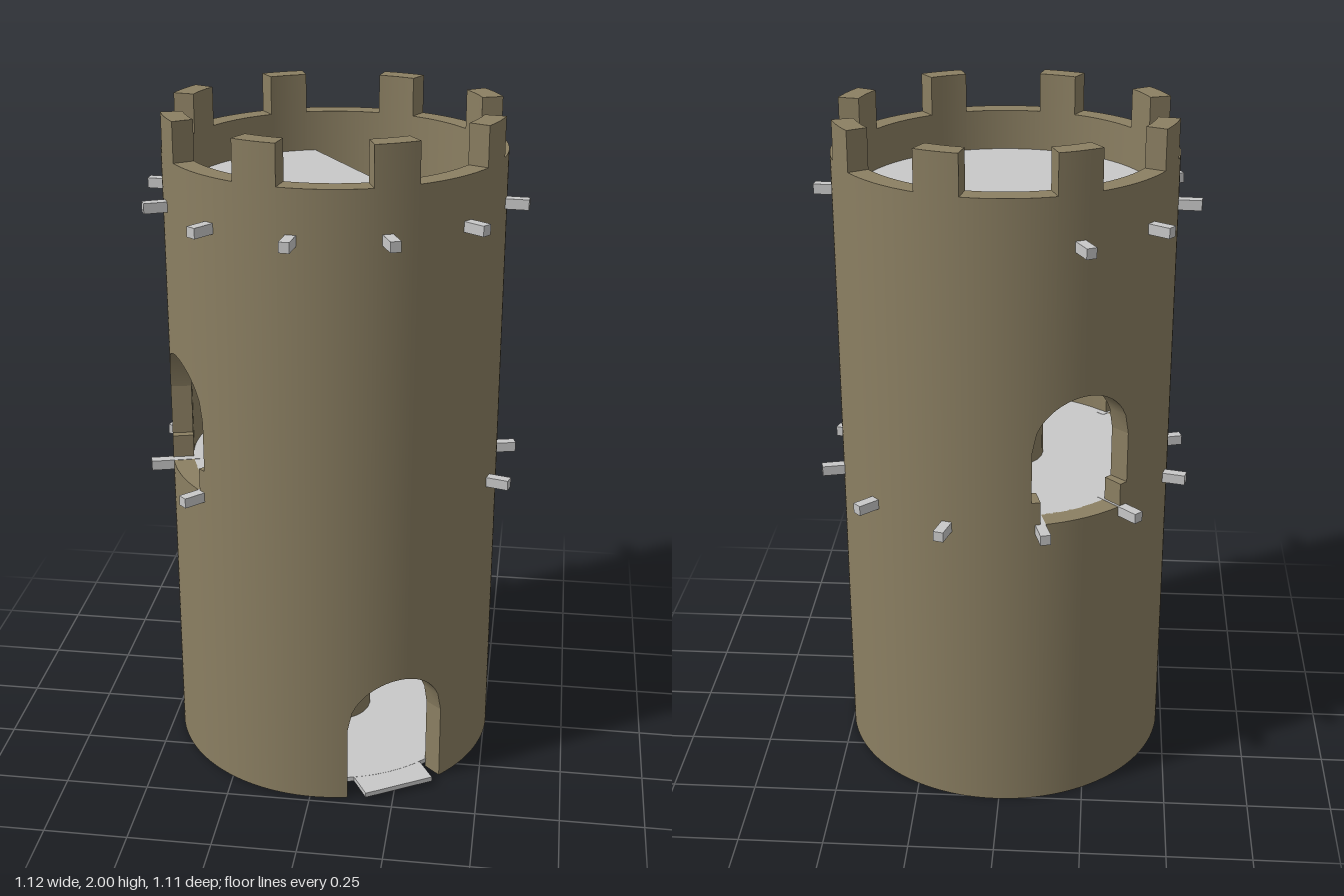
import * as THREE from 'three';
import { toCreasedNormals } from 'three/addons/utils/BufferGeometryUtils.js';

const R = 0.495, RI = 0.433;          // outer and inner wall radius
const FLOORS = [0.03, 0.935, 1.765];  // walking levels

const rad = THREE.MathUtils.degToRad;
// point at radius r, azimuth a (degrees from +z towards +x), height y
const P = (r, a, y) => [r * Math.sin(rad(a)), y, r * Math.cos(rad(a))];

function quad(out, p, q, r, s) {
  out.push(...p, ...q, ...r, ...p, ...r, ...s);
}

// Curved block between two radii and azimuths; bottom and top may slope
function block(out, r0, r1, a0, a1, [b0, b1], [t0, t1], end0 = true, end1 = true) {
  const o = [P(r1, a0, b0), P(r1, a1, b1), P(r1, a1, t1), P(r1, a0, t0)];
  const i = [P(r0, a0, b0), P(r0, a1, b1), P(r0, a1, t1), P(r0, a0, t0)];
  quad(out, o[0], o[1], o[2], o[3]);
  quad(out, i[1], i[0], i[3], i[2]);
  quad(out, o[3], o[2], i[2], i[3]);
  quad(out, i[0], i[1], o[1], o[0]);
  if (end0) quad(out, i[0], o[0], o[3], i[3]);
  if (end1) quad(out, o[1], i[1], i[2], o[2]);
}

function toGeometry(out) {
  const g = new THREE.BufferGeometry();
  g.setAttribute('position', new THREE.Float32BufferAttribute(out, 3));
  g.computeVertexNormals();
  return toCreasedNormals(g, 0.5);
}

// Arched openings: door and two windows
const HALF = 18;
const OPENINGS = [
  { at: 30, sill: 0, top: 0.39, lip: 0 },
  { at: 210, sill: 0.935, top: 1.31, lip: 0.07 },
  { at: 300, sill: 0.935, top: 1.31, lip: 0.07 },
];
function archHeight(o, a) {
  const w = R * Math.sin(rad(HALF));
  const u = R * Math.sin(rad(a - o.at));
  return o.top - w + Math.sqrt(Math.max(0, w * w - u * u));
}
const openingAt = (a) => OPENINGS.find((o) => Math.abs(a - o.at) < HALF);
const isMerlon = (a) => Math.abs(((a - 27 + 382.5) % 45) - 22.5) < 7.5;

function wallGeometry() {
  const out = [], step = 1.5;
  const topAt = (a) => (isMerlon(a) ? 2 : 1.885);
  for (let a = 0; a < 360; a += step) {
    const b = a + step, m = a + step / 2;
    const o = openingAt(m), t = topAt(m);
    const e0 = openingAt(m - step) !== o || topAt(m - step) !== t;
    const e1 = openingAt(m + step) !== o || topAt(m + step) !== t;
    if (!o) {
      block(out, RI, R, a, b, [0, 0], [t, t], e0, e1);
      continue;
    }
    block(out, RI, R, a, b, [archHeight(o, a), archHeight(o, b)], [t, t], e0, e1);
    if (o.sill > 0) {
      // raised lip in the lower corners of the window
      const inLip = (x) => Math.abs(x - o.at) > HALF - 3;
      const s = o.sill + (inLip(m) ? o.lip : 0);
      block(out, RI, R, a, b, [0, 0], [s, s],
        inLip(m - step) !== inLip(m), inLip(m + step) !== inLip(m));
    }
  }
  return toGeometry(out);
}

function sectorFloor(from, to, y) {
  const out = [], n = Math.round((to - from) / 6), d = (to - from) / n;
  for (let k = 0; k < n; k++) {
    const a = from + k * d;
    block(out, 0.1, RI + 0.003, a, a + d, [y - 0.015, y - 0.015], [y, y], k === 0, k === n - 1);
  }
  return toGeometry(out);
}

// Stair flight climbing as the azimuth falls, and the ramp lying on it
function flight(from, to, y0, y1) {
  const steps = [], ramp = [], n = 28, d = (from - to) / n, h = (y1 - y0) / n;
  for (let k = 0; k < n; k++) {
    const a1 = from - k * d, a0 = a1 - d, y = y0 + k * h;
    const low = Math.max(0.002, y - 0.045);
    block(steps, 0.11, RI, a0, a1, [low, low], [y - 0.002, y - 0.002]);
    quad(ramp, P(RI, a0, y + h), P(RI, a1, y), P(0.11, a1, y), P(0.11, a0, y + h));
  }
  return [toGeometry(steps), toGeometry(ramp)];
}

export function createModel() {
  const stone = new THREE.MeshStandardMaterial({ color: 0x8b7f62 });
  stone.name = 'stone';
  const stoneOpen = stone;
  const grey = new THREE.MeshStandardMaterial({ color: 0xc8c8c8, side: THREE.DoubleSide });
  grey.name = 'paleGrey';

  const tower = new THREE.Group();
  tower.name = 'tower';
  const add = (name, geometry, material) => {
    const mesh = new THREE.Mesh(geometry, material);
    mesh.name = name;
    tower.add(mesh);
    return mesh;
  };

  add('wall', wallGeometry(), stone);

  // Hollow newel column
  const newel = [];
  for (let a = 0; a < 360; a += 15) {
    block(newel, 0.095, 0.115, a, a + 15, [0.015, 0.015], [1.752, 1.752], false, false);
  }
  add('newelColumn', toGeometry(newel), stoneOpen);

  // Ground and middle floors
  add('groundFloor', sectorFloor(0, 240, FLOORS[0]), grey);
  add('middleFloor', sectorFloor(160, 430, FLOORS[1]), grey);

  // Top floor with a stair opening
  const pts = [];
  for (let k = 0; k <= 40; k++) {
    const [x, , z] = P(RI + 0.003, 196 + (252 * k) / 40, 0);
    pts.push(new THREE.Vector2(x, -z));
  }
  pts.push(new THREE.Vector2(0.15, 0.025));
  const topFloor = new THREE.ExtrudeGeometry(new THREE.Shape(pts), { depth: 0.015, bevelEnabled: false });
  topFloor.rotateX(-Math.PI / 2);
  add('topFloor', topFloor, grey).position.y = FLOORS[2] - 0.015;

  // Door sill reaching out through the doorway
  const sill = new THREE.BoxGeometry(0.22, 0.015, 0.15);
  sill.translate(0, FLOORS[0] - 0.008, 0.436);
  add('doorSill', sill, grey).rotation.y = rad(30);

  // Two flights of spiral stairs
  [[345, 70], [420, 90]].forEach(([from, to], k) => {
    const [steps, ramp] = flight(from, to, FLOORS[k], FLOORS[k + 1]);
    add('stairSteps', steps, stone);
    add('stairRamp', ramp, grey);
  });

  // Floor beams poking through the wall
  const beam = new THREE.BoxGeometry(0.03, 0.03, 0.15);
  beam.translate(0, 0, 0.487);
  const rings = [
    [0.922, [74, 104, 134, 164, 195, 226, 256.5, 286, 316]],
    [1.745, [-153, -123.5, -95, -65.5, -35.5, -6, 24, 54, 85]],
  ];
  for (const [y, angles] of rings) {
    for (const a of angles) {
      const mesh = add('floorBeam', beam, grey);
      mesh.position.y = y - 0.001;
      mesh.rotation.y = rad(a);
    }
  }

  tower.position.set(0.01, 0, -0.015);
  const model = new THREE.Group();
  model.name = 'roundTower';
  model.add(tower);
  return model;
}
